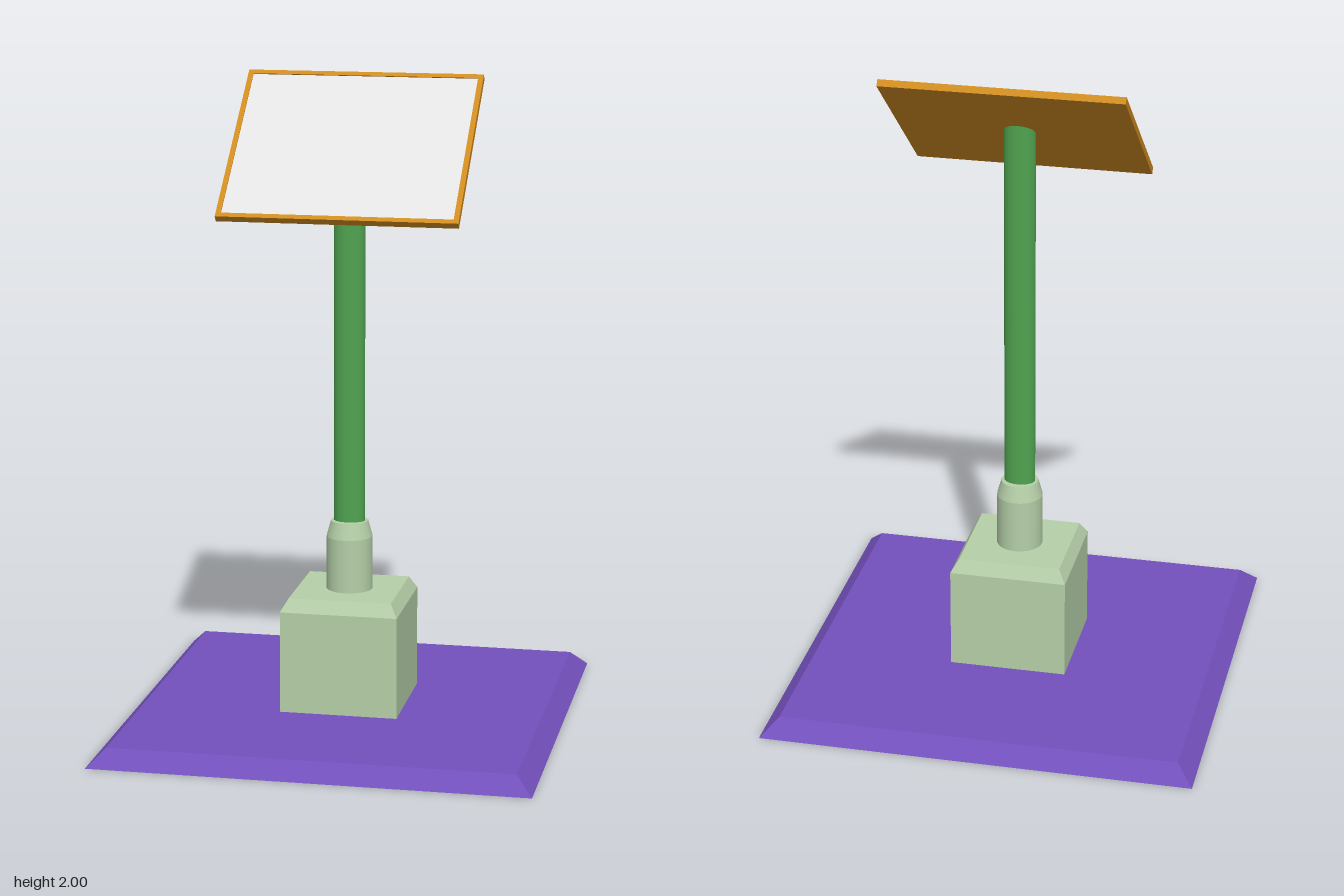
import * as THREE from 'three';

const flat = (name, color) => {
  const m = new THREE.MeshStandardMaterial({ color });
  m.name = name;
  return m;
};

export function createModel() {
  const purple = flat('purple', 0x7350bc);
  const paleGreen = flat('pale green', 0xb5cfa8);
  const green = flat('green', 0x50a350);
  const ochre = flat('ochre', 0xd08c20);
  const lightGrey = flat('light grey', 0xe2e2e2);

  const model = new THREE.Group();
  model.name = 'informationStand';

  const add = (parent, name, geometry, material, x = 0, y = 0, z = 0) => {
    const mesh = new THREE.Mesh(geometry, material);
    mesh.name = name;
    mesh.position.set(x, y, z);
    parent.add(mesh);
    return mesh;
  };

  // Box whose top face is drawn in to make sloping sides
  const taperedBox = (bottomHalf, topHalf, height) => {
    const g = new THREE.BoxGeometry(bottomHalf * 2, height, bottomHalf * 2);
    const p = g.attributes.position;
    const k = topHalf / bottomHalf;
    for (let i = 0; i < p.count; i++) {
      if (p.getY(i) > 0) p.setXYZ(i, p.getX(i) * k, p.getY(i), p.getZ(i) * k);
    }
    g.computeVertexNormals();
    return g.translate(0, height / 2, 0);
  };

  // Ground slab and plinth with chamfered tops
  add(model, 'groundSlab', taperedBox(0.672, 0.62, 0.052), purple);
  add(model, 'plinth', taperedBox(0.183, 0.183, 0.322), paleGreen, 0, 0.05, 0);
  add(model, 'plinthChamfer', taperedBox(0.183, 0.16, 0.04), paleGreen, 0, 0.372, 0);

  // Collar that holds the pole
  add(model, 'collar', new THREE.CylinderGeometry(0.072, 0.072, 0.17, 20), paleGreen, 0, 0.495, 0);
  add(model, 'collarTop', new THREE.CylinderGeometry(0.058, 0.072, 0.05, 20), paleGreen, 0, 0.605, 0);

  // Oval pole, its top cut to the slope of the sign
  const tilt = 0.69;
  const pole = new THREE.CylinderGeometry(1, 1, 1.19, 20).scale(0.049, 1, 0.037);
  pole.translate(0, 1.2, 0);
  const p = pole.attributes.position;
  for (let i = 0; i < p.count; i++) {
    if (p.getY(i) > 1.2) p.setY(i, 1.793 - p.getZ(i) * Math.tan(tilt));
  }
  add(model, 'pole', pole, green);

  // Tilted sign: backing board, raised rim and inset face
  const sign = new THREE.Group();
  sign.name = 'sign';
  sign.position.set(0.007, 1.795, 0.007);
  sign.rotation.x = tilt;
  model.add(sign);
  const w = 0.736, d = 0.611, t = 0.022, rim = 0.016, depth = 0.006;
  add(sign, 'backingBoard', new THREE.BoxGeometry(w, t - depth, d), ochre, 0, -depth / 2, 0);
  for (const s of [-1, 1]) {
    const y = t / 2 - depth / 2;
    add(sign, s > 0 ? 'lowerRim' : 'upperRim',
      new THREE.BoxGeometry(w, depth, rim), ochre, 0, y, s * (d - rim) / 2);
    add(sign, s > 0 ? 'leftRim' : 'rightRim',
      new THREE.BoxGeometry(rim, depth, d - 2 * rim), ochre, s * (w - rim) / 2, y, 0);
  }
  add(sign, 'signFace', new THREE.BoxGeometry(w - 2 * rim, 0.003, d - 2 * rim),
    lightGrey, 0, t / 2 - depth + 0.0015, 0);

  return model;
}
